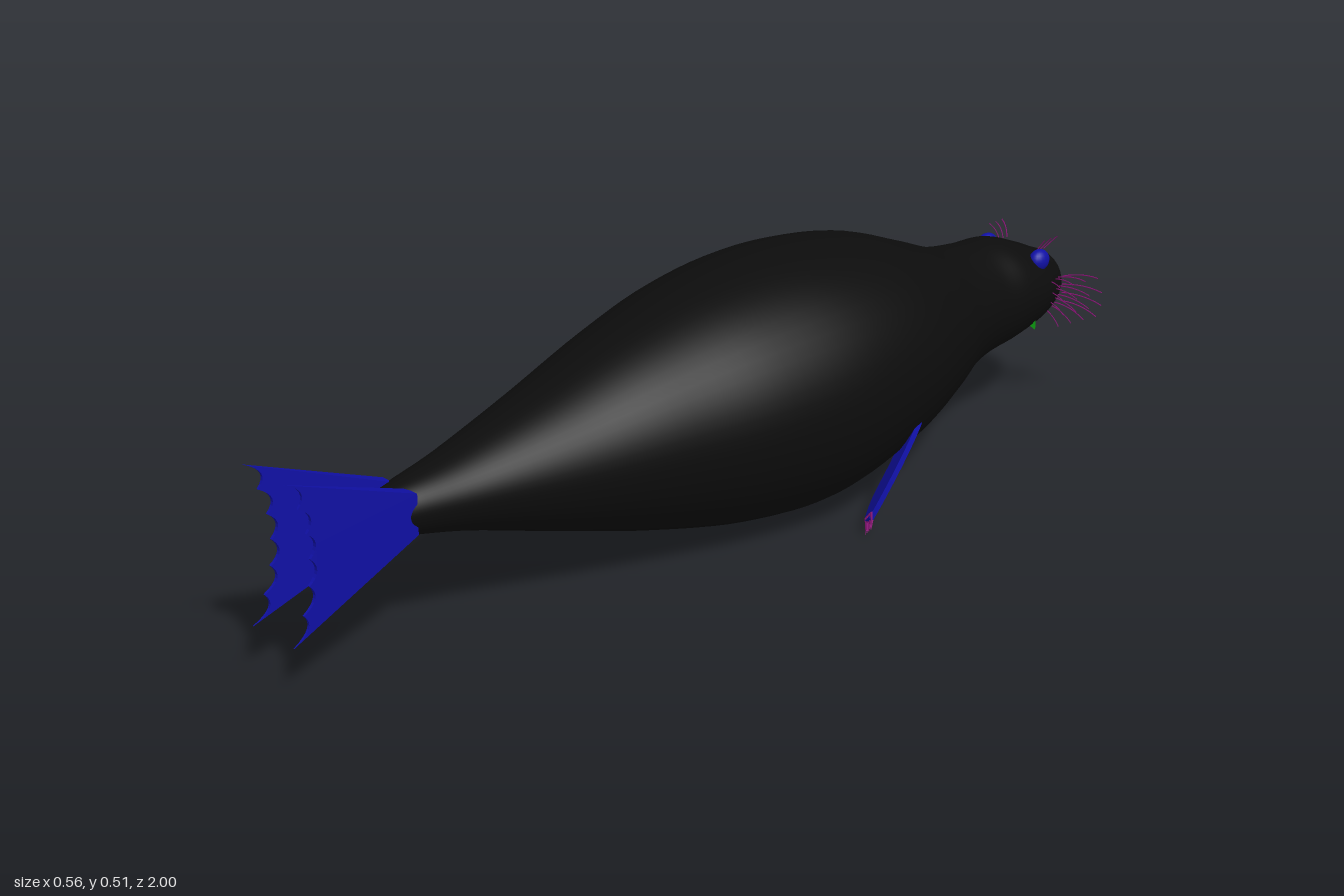
import * as THREE from 'three';

const mat = (name, hex) => {
  const m = new THREE.MeshStandardMaterial({ color: hex, side: THREE.DoubleSide });
  m.name = name;
  return m;
};

export function createModel() {
  const model = new THREE.Group();
  const black = mat('black skin', 0x0c0c0c);
  const blue = mat('blue flippers', 0x1010a4);
  const magenta = mat('magenta whiskers', 0x8c1478);
  const green = mat('green flaps', 0x10b414);

  const add = (name, geo, material, parent = model) => {
    const mesh = new THREE.Mesh(geo, material);
    mesh.name = name;
    parent.add(mesh);
    return mesh;
  };

  // Body: elliptical sections [z, half width, bottom, top] from tail to nose
  const sections = [
    [0.81, 0.001, 0.27, 0.272], [0.795, 0.022, 0.245, 0.295], [0.74, 0.047, 0.227, 0.318],
    [0.6, 0.085, 0.195, 0.345], [0.4, 0.143, 0.132, 0.40], [0.2, 0.2, 0.072, 0.462],
    [0, 0.25, 0.026, 0.508], [-0.2, 0.269, 0.012, 0.523], [-0.4, 0.245, 0.057, 0.50],
    [-0.55, 0.19, 0.107, 0.447], [-0.65, 0.142, 0.14, 0.408], [-0.74, 0.114, 0.156, 0.396],
    [-0.82, 0.11, 0.168, 0.391], [-0.89, 0.1, 0.185, 0.366], [-0.94, 0.08, 0.199, 0.343],
    [-0.975, 0.06, 0.214, 0.327], [-0.992, 0.036, 0.235, 0.305], [-0.997, 0.001, 0.268, 0.27],
  ];
  const curve = (f) => new THREE.CatmullRomCurve3(sections.map(f), false, 'catmullrom');
  const widths = curve(([z, w]) => new THREE.Vector3(z, w, 0));
  const heights = curve(([z, , b, t]) => new THREE.Vector3(z, (b + t) / 2, (t - b) / 2));
  const rings = 102, sides = 56, pos = [], index = [];
  for (let i = 0; i <= rings; i++) {
    const p = widths.getPoint(i / rings), q = heights.getPoint(i / rings);
    for (let j = 0; j < sides; j++) {
      const a = (j / sides) * Math.PI * 2;
      pos.push(p.y * Math.cos(a), q.y + q.z * Math.sin(a), p.x);
      if (i < rings) {
        const k = i * sides, n = (j + 1) % sides;
        index.push(k + j, k + sides + j, k + n, k + n, k + sides + j, k + sides + n);
      }
    }
  }
  // Wind triangles outward for sections running toward -z
  for (let i = 0; i < index.length; i += 3) [index[i + 1], index[i + 2]] = [index[i + 2], index[i + 1]];
  const bodyGeo = new THREE.BufferGeometry();
  bodyGeo.setAttribute('position', new THREE.Float32BufferAttribute(pos, 3));
  bodyGeo.setIndex(index);
  bodyGeo.computeVertexNormals();
  // Flip if the winding points inward
  const mid = 51 * sides;
  if (bodyGeo.attributes.normal.getX(mid) < 0) {
    for (let i = 0; i < index.length; i += 3) [index[i + 1], index[i + 2]] = [index[i + 2], index[i + 1]];
    bodyGeo.setIndex(index);
    bodyGeo.computeVertexNormals();
  }
  add('body', bodyGeo, black);

  // Plate drawn as (z, y) outline; place(z, y, k) gives x, with k = 0 inside and 1 outside
  const plate = (shape, place) => {
    const geo = new THREE.ExtrudeGeometry(shape, { depth: 1, bevelEnabled: false, curveSegments: 8 });
    const p = geo.attributes.position;
    for (let i = 0; i < p.count; i++) {
      const z = p.getX(i), y = p.getY(i), k = p.getZ(i);
      p.setXYZ(i, place(z, y, k), y, z);
    }
    // Swapping x and z mirrors the shape, so reverse each triangle
    for (let i = 0; i < p.count; i += 3) {
      const a = new THREE.Vector3().fromBufferAttribute(p, i + 1);
      const b = new THREE.Vector3().fromBufferAttribute(p, i + 2);
      p.setXYZ(i + 1, b.x, b.y, b.z);
      p.setXYZ(i + 2, a.x, a.y, a.z);
    }
    geo.computeVertexNormals();
    return geo;
  };
  const v2 = (list) => list.map(([x, y]) => new THREE.Vector2(x, y));

  const flipperX = (z, y) => 0.373 + 0.66 * y + 0.75 * z;
  const flipperShape = new THREE.Shape();
  flipperShape.moveTo(-0.42, 0.17);
  flipperShape.splineThru(v2([[-0.37, 0.188], [-0.32, 0.175], [-0.26, 0.135], [-0.21, 0.085], [-0.185, 0.05]]));
  flipperShape.splineThru(v2([[-0.195, 0.035], [-0.22, 0.026], [-0.28, 0.038], [-0.34, 0.09], [-0.42, 0.14]]));

  // Tail fluke with a scalloped trailing edge
  const flukeShape = new THREE.Shape(v2([[0.72, 0.236], [0.72, 0.314], [1, 0.42]]));
  const scallops = [[1, 0.42], [0.975, 0.368], [0.96, 0.318], [0.955, 0.27], [0.96, 0.222], [0.975, 0.172], [1, 0.12]];
  for (let i = 1; i < scallops.length; i++) {
    const [z0, y0] = scallops[i - 1], [z1, y1] = scallops[i];
    const dir = i <= 3 ? 1 : -1;
    const yc = dir > 0 ? y0 * 0.55 + y1 * 0.45 : y0 * 0.45 + y1 * 0.55;
    flukeShape.quadraticCurveTo(Math.min(z0, z1) - 0.028, yc, z1, y1);
  }
  const flukeX = (z, y, k) => {
    const t = (z - 0.73) / 0.27;
    return k ? 0.048 + 0.011 * t : 0.02 + 0.037 * t;
  };

  for (const [side, s] of [['left', 1], ['right', -1]]) {
    const half = new THREE.Group();
    half.name = side + 'Side';
    half.scale.x = s;
    model.add(half);

    add(side + 'FrontFlipper', plate(flipperShape, (z, y, k) => flipperX(z, y) + 0.012 * (k - 0.5)), blue, half);
    add(side + 'TailFluke', plate(flukeShape, flukeX), blue, half);

    // Claws along the flipper tip
    const clawDir = new THREE.Vector3(0.016, -0.022, 0.02).normalize();
    for (let i = 0; i < 5; i++) {
      const t = i / 4, z = -0.19 - 0.012 * t, y = 0.053 - 0.024 * t;
      const claw = add('claw', new THREE.ConeGeometry(0.005, 0.036, 6), magenta, half);
      claw.position.set(flipperX(z, y), y, z).addScaledVector(clawDir, 0.01);
      claw.quaternion.setFromUnitVectors(new THREE.Vector3(0, 1, 0), clawDir);
    }

    // Eye
    const eye = add(side + 'Eye', new THREE.SphereGeometry(0.023, 20, 14), blue, half);
    eye.position.set(0.07, 0.344, -0.886);
    eye.scale.set(0.8, 1, 1.1);

    // Cheek flap under the jaw
    const flap = new THREE.BufferGeometry();
    flap.setAttribute('position', new THREE.Float32BufferAttribute(
      [0.09, 0.283, -0.86, 0.03, 0.225, -0.86, 0.09, 0.203, -0.86], 3));
    flap.computeVertexNormals();
    add(side + 'CheekFlap', flap, green, half);

    // Whiskers fanning out from the muzzle
    const whisker = (a, b, droop) => {
      const from = new THREE.Vector3(...a), to = new THREE.Vector3(...b);
      const bend = from.clone().lerp(to, 0.5);
      bend.y += droop;
      bend.z -= 0.008;
      const path = new THREE.QuadraticBezierCurve3(from, bend, to);
      add('whisker', new THREE.TubeGeometry(path, 6, 0.0013, 4), magenta, half);
    };
    for (let r = 0; r < 4; r++) {
      for (let c = 0; c < 4; c++) {
        whisker([0.055 + 0.005 * (3 - c), 0.235 + 0.018 * r, -0.965 + 0.018 * c],
          [0.165 - 0.012 * Math.abs(r - 1.5) - 0.006 * c, 0.215 + 0.028 * r, -0.985 + 0.033 * c], 0.008);
      }
    }
    // Brow whiskers
    for (let i = 0; i < 3; i++) whisker([0.05, 0.355, -0.9 - 0.012 * i], [0.075, 0.385, -0.895 - 0.02 * i], 0.004);
  }
  return model;
}
